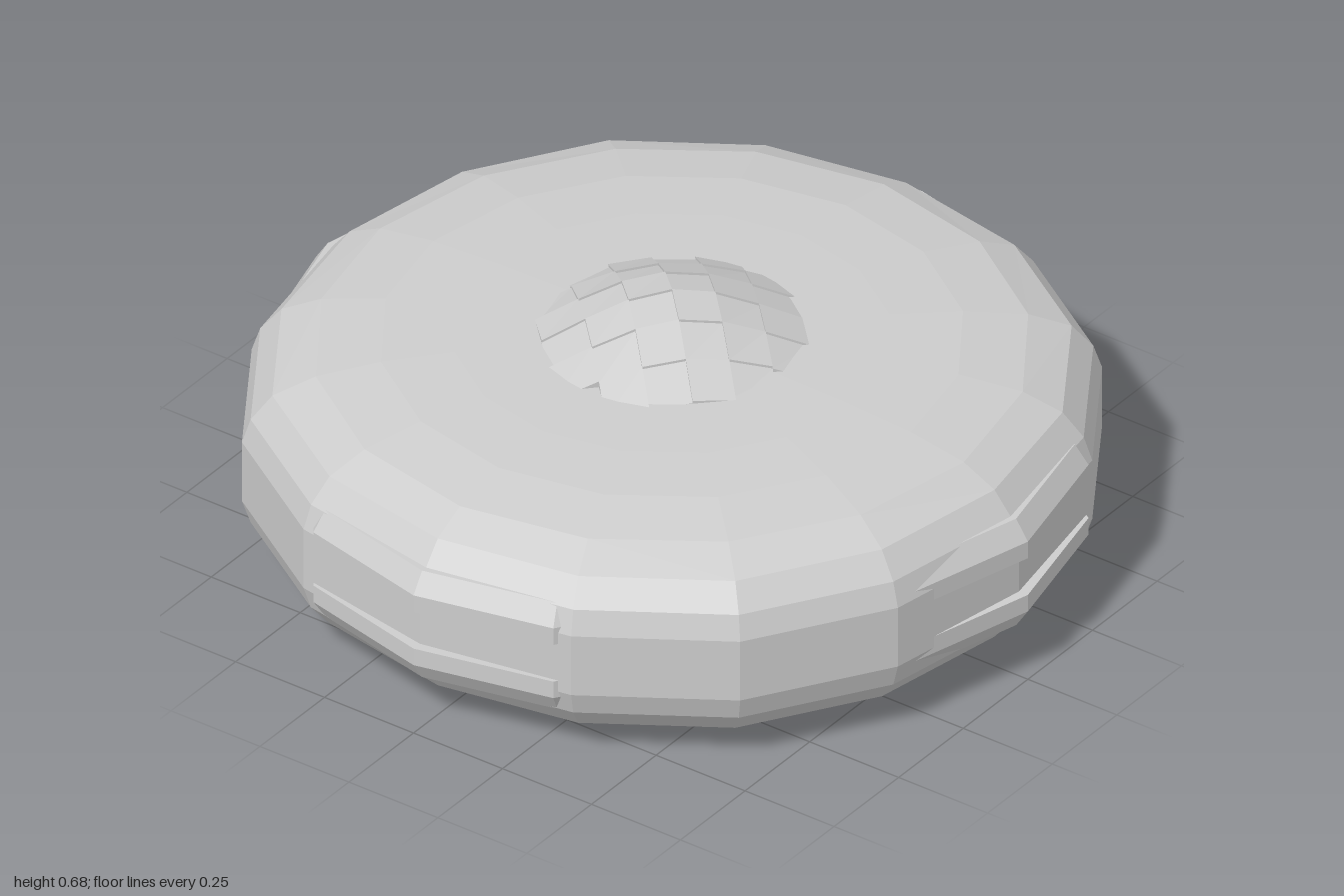
import * as THREE from 'three';

const MID = 0.28; // height of the horizontal mirror plane of the body

// Applies a rule to each vertex of a geometry
function reshape(geo, rule) {
  const p = geo.attributes.position;
  const v = new THREE.Vector3();
  for (let i = 0; i < p.count; i++) {
    v.fromBufferAttribute(p, i);
    rule(v, i);
    p.setXYZ(i, v.x, v.y, v.z);
  }
  geo.computeVertexNormals();
  return geo;
}

function createBody(mat) {
  // Upper half of the profile, from the widest ring to the centre
  const upper = [[0.99, 0.36], [0.97, 0.42], [0.92, 0.48], [0.82, 0.522],
    [0.67, 0.546], [0.5, 0.555], [0.27, 0.559], [0, 0.56]];
  const lower = upper.map(([r, y]) => [r, 2 * MID - y]).reverse();
  const profile = [...lower, ...upper].map(([r, y]) => new THREE.Vector2(r, y));
  const geo = reshape(new THREE.LatheGeometry(profile, 16), v => {
    // Slightly squared outline: the rim is pulled in on the axes
    const r = Math.hypot(v.x, v.z);
    if (r < 0.85) return;
    const k = 1 - 0.015 * Math.cos(2 * Math.atan2(v.x, v.z)) ** 2;
    v.x *= k;
    v.z *= k;
  });
  const body = new THREE.Mesh(geo, mat);
  body.name = 'body';
  return body;
}

// Raised ridge on one side; endRadii are the radii at its two ends
function createRidge(mat, upper, endRadii) {
  let section = [[0.88, 0.33], [1, 0.33], [1, 0.375], [0.967, 0.425], [0.88, 0.425]];
  if (!upper) section = section.map(([r, y]) => [r, 2 * MID - y]).reverse();
  const n = section.length;
  const angles = [-0.4, -0.35, 0, 0.35, 0.4];
  const scales = [0.95, endRadii[0], 1, endRadii[1], 0.95];
  const geo = new THREE.LatheGeometry(section.map(([r, y]) => new THREE.Vector2(r, y)), 4, -0.4, 0.8);
  reshape(geo, (v, i) => {
    const s = Math.floor(i / n);
    const r = section[i % n][0] * scales[s];
    v.x = r * Math.sin(angles[s]);
    v.z = r * Math.cos(angles[s]);
  });
  const ridge = new THREE.Mesh(geo, mat);
  ridge.name = upper ? 'upperRidge' : 'lowerRidge';
  return ridge;
}

// Height of the dome at a distance from the centre
function domeHeight(r) {
  const pts = [[0, 0.669], [0.08, 0.659], [0.16, 0.629], [0.31, 0.555], [0.45, 0.48]];
  for (let i = 1; i < pts.length; i++) {
    const [r0, y0] = pts[i - 1], [r1, y1] = pts[i];
    if (r <= r1) return y0 + (y1 - y0) * (r - r0) / (r1 - r0);
  }
  return 0.48;
}

// Woven dome: diagonal checker of tiles, alternately raised
function createDome(mat) {
  const dome = new THREE.Group();
  dome.name = 'wovenDome';
  const size = 0.1;
  for (let i = -3; i < 3; i++) {
    for (let j = -3; j < 3; j++) {
      const cx = (i + 0.5) * size, cz = (j + 0.5) * size;
      if (Math.hypot(cx, cz) > 0.34) continue;
      const raise = (i + j) % 2 === 0 ? 0.006 : 0;
      const geo = reshape(new THREE.BoxGeometry(size, 0.1, size), v => {
        v.x += cx;
        v.z += cz;
        v.y = v.y > 0 ? domeHeight(Math.hypot(v.x, v.z)) + raise : 0.45;
      });
      const tile = new THREE.Mesh(geo, mat);
      tile.name = 'domeTile';
      dome.add(tile);
    }
  }
  dome.rotation.y = Math.PI / 4;
  return dome;
}

export function createModel() {
  const grey = new THREE.MeshStandardMaterial({ color: 0xcccccc, flatShading: true });
  grey.name = 'lightGrey';
  const model = new THREE.Group();
  model.name = 'roundCushion';
  model.add(createBody(grey), createDome(grey));

  // Pairs of ridges on all four sides; the side pairs sink in towards the front
  const sides = [
    ['front', 0, [0.983, 0.983]],
    ['left', Math.PI / 2, [0.968, 0.985]],
    ['back', Math.PI, [0.983, 0.983]],
    ['right', -Math.PI / 2, [0.985, 0.968]],
  ];
  for (const [name, angle, ends] of sides) {
    const pair = new THREE.Group();
    pair.name = name + 'Ridges';
    pair.add(createRidge(grey, true, ends), createRidge(grey, false, ends));
    pair.rotation.y = angle;
    model.add(pair);
  }
  return model;
}
